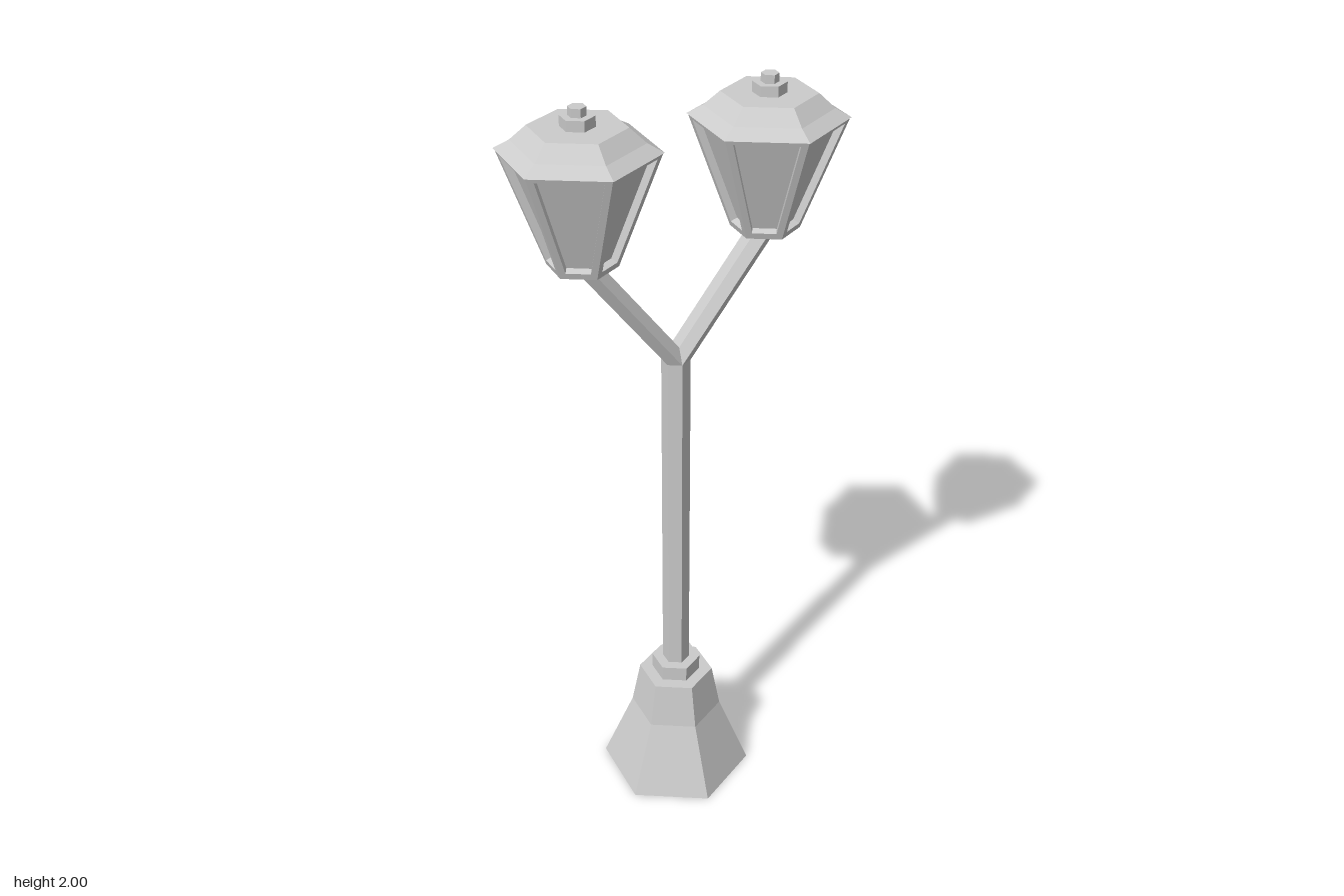
import * as THREE from 'three';

const SIDES = 6;
const material = new THREE.MeshStandardMaterial({ color: 0xcccccc, flatShading: true });

function addMesh(parent, name, geometry) {
  const mesh = new THREE.Mesh(geometry, material);
  mesh.name = name;
  parent.add(mesh);
  return mesh;
}

// Six-sided turned solid from [radius, y] pairs, bottom to top
function hexLathe(profile) {
  return new THREE.LatheGeometry(profile.map(([r, y]) => new THREE.Vector2(r, y)), SIDES);
}

// Tapered lantern side facing +z: frame, reveal and recessed pane built from nested loops
function lanternSide(y0, r0, y1, r1) {
  const apothem = Math.cos(Math.PI / SIDES);
  const bar = 0.016, depth = 0.018;
  const radiusAt = y => r0 + (r1 - r0) * (y - y0) / (y1 - y0);
  const normal = new THREE.Vector3(0, -(r1 - r0) * apothem, y1 - y0).normalize();
  const loop = (bottom, top, inset, sink) =>
    [[-1, bottom], [1, bottom], [1, top], [-1, top]].map(([s, y]) => {
      const r = radiusAt(y);
      return new THREE.Vector3(s * (r / 2 - inset), y, r * apothem).addScaledVector(normal, -sink);
    });
  const loops = [
    loop(y0, y1, 0, 0),
    loop(y0 + 0.016, y1 - 0.01, bar, 0),
    loop(y0 + 0.016, y1 - 0.01, bar, depth),
  ];
  const positions = [];
  const quad = (a, b, c, d) => [a, b, c, a, c, d].forEach(p => positions.push(p.x, p.y, p.z));
  for (let k = 0; k < 2; k++) {
    for (let i = 0; i < 4; i++) {
      const j = (i + 1) % 4;
      quad(loops[k][i], loops[k][j], loops[k + 1][j], loops[k + 1][i]);
    }
  }
  quad(...loops[2]);
  const geometry = new THREE.BufferGeometry();
  geometry.setAttribute('position', new THREE.Float32BufferAttribute(positions, 3));
  geometry.computeVertexNormals();
  return geometry;
}

function createLantern() {
  const lantern = new THREE.Group();
  const bottom = 1.625, eaves = 1.9;

  // Glazed sides
  for (let i = 0; i < SIDES; i++) {
    const side = addMesh(lantern, 'lanternSide', lanternSide(bottom, 0.083, eaves, 0.185));
    side.rotation.y = (i + 0.5) * Math.PI * 2 / SIDES;
  }
  addMesh(lantern, 'lanternFloor', hexLathe([[0, bottom], [0.083, bottom]]));

  // Two-pitch roof with a flat top, then the stepped finial
  addMesh(lantern, 'roof', hexLathe([
    [0, eaves], [0.188, eaves], [0.15, 1.921], [0.112, 1.955], [0, 1.955],
  ]));
  addMesh(lantern, 'finial', hexLathe([
    [0.04, 1.955], [0.04, 1.98], [0.021, 1.98], [0.021, 2], [0, 2],
  ]));
  return lantern;
}

export function createModel() {
  const model = new THREE.Group();
  model.name = 'streetLamp';
  const postRadius = 0.036, forkY = 1.32, armTop = 1.63;

  // Flared foot and collar
  addMesh(model, 'base', hexLathe([[0, 0], [0.205, 0], [0.123, 0.205], [0.1, 0.33], [0, 0.33]]));
  addMesh(model, 'collar', hexLathe([[0.065, 0.33], [0.065, 0.373], [0, 0.373]]));

  // Post
  addMesh(model, 'post', hexLathe([[postRadius, 0.37], [postRadius, forkY]]));

  for (const [side, s] of [['left', 1], ['right', -1]]) {
    // Arm: the post section sheared outwards
    const arm = new THREE.CylinderGeometry(postRadius, postRadius, armTop - forkY, SIDES);
    arm.translate(0, (armTop - forkY) / 2, 0);
    arm.applyMatrix4(new THREE.Matrix4().makeShear(0, 0, s * 0.754, 0, 0, 0));
    // Keep the shear along x as a function of height
    const p = arm.attributes.position;
    const ring = new THREE.CylinderGeometry(postRadius, postRadius, armTop - forkY, SIDES).attributes.position;
    for (let i = 0; i < p.count; i++) {
      const y = ring.getY(i) + (armTop - forkY) / 2;
      p.setXYZ(i, ring.getX(i) + s * 0.754 * y, forkY + y, ring.getZ(i));
    }
    arm.computeVertexNormals();
    addMesh(model, side + 'Arm', arm);

    const lantern = createLantern();
    lantern.name = side + 'Lantern';
    lantern.position.x = s * 0.235;
    model.add(lantern);
  }
  return model;
}
